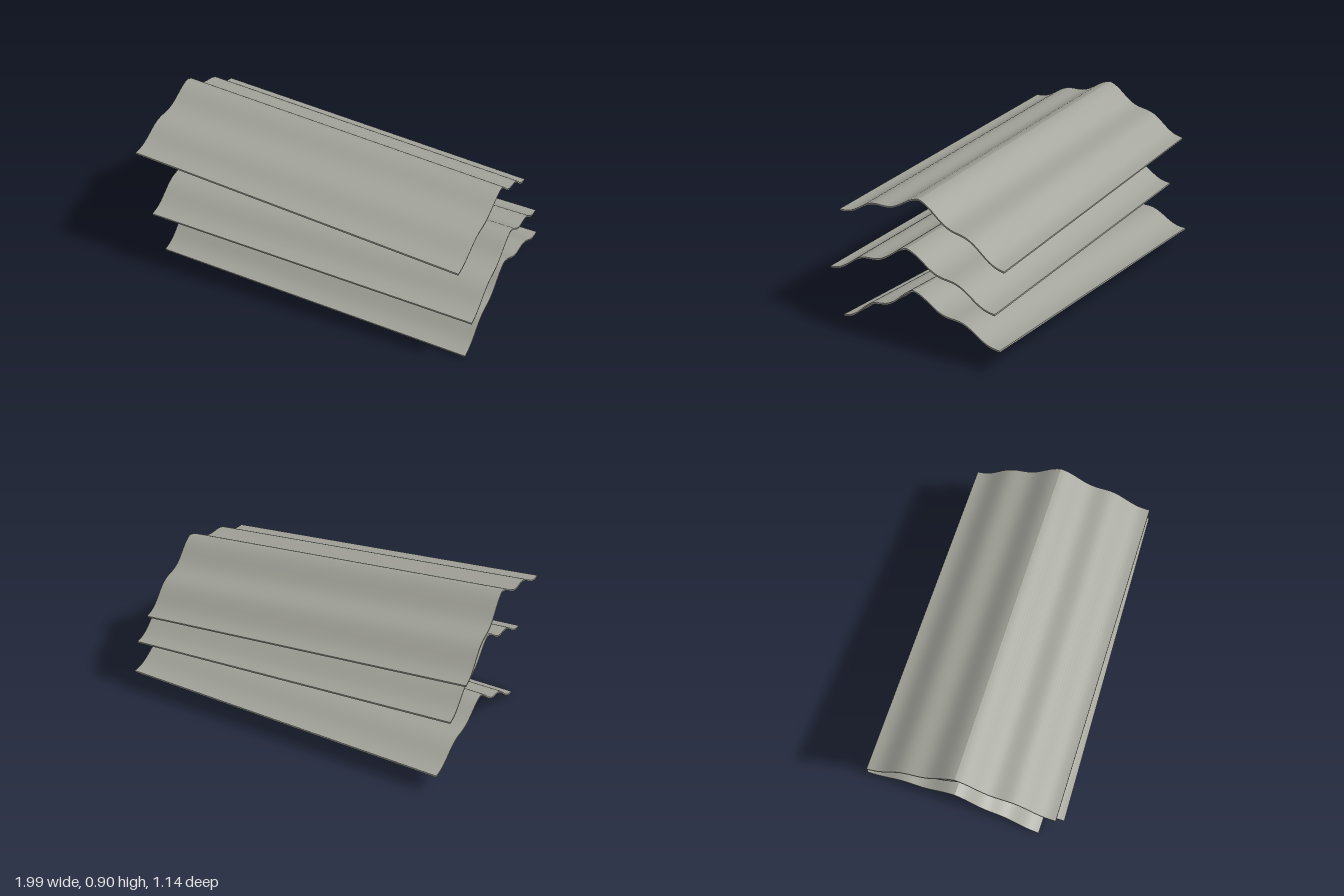
import * as THREE from 'three';
import { toCreasedNormals } from 'three/addons/utils/BufferGeometryUtils.js';

const LENGTH = 1.87, HALF_WIDTH = 0.507, THICKNESS = 0.009, STEPS = 40;

// Height of the sheet below its ridge: a steady slope with a soft wave.
function drop(s) {
  const wave = (d) => Math.sin((2 * Math.PI * (d - 0.235)) / 0.275);
  return -0.414 * s + 0.0144 * (wave(s) - wave(0));
}

// Thin ridged cross-section, extruded along x.
function sheetGeometry() {
  const top = [], bottom = [];
  for (let i = -STEPS; i <= STEPS; i++) {
    const s = (i / STEPS) * HALF_WIDTH;
    const h = drop(Math.abs(s));
    top.push(new THREE.Vector2(s, h));
    bottom.unshift(new THREE.Vector2(s, h - THICKNESS));
  }
  const geometry = new THREE.ExtrudeGeometry(new THREE.Shape([...top, ...bottom]), {
    depth: LENGTH, bevelEnabled: false, steps: 1,
  });
  geometry.translate(0, 0, -LENGTH / 2).rotateY(Math.PI / 2);
  return toCreasedNormals(geometry, 0.3);
}

export function createModel() {
  const group = new THREE.Group();
  group.name = 'ridgedSheets';
  const material = new THREE.MeshStandardMaterial({ color: 0x9fa097 });
  material.name = 'warm grey';
  const geometry = sheetGeometry();

  // Ridge midpoint, then roll (x), yaw (y) and pitch (z) of each loose sheet.
  const sheets = [
    { name: 'bottomSheet', at: [0.022, 0.292, -0.039], turn: [0.102, 0.001, 0.008] },
    { name: 'middleSheet', at: [0.045, 0.562, 0.018], turn: [0, 0.0465, -0.034] },
    { name: 'topSheet', at: [-0.032, 0.836, -0.017], turn: [-0.097, 0.0305, -0.0745] },
  ];
  for (const { name, at, turn } of sheets) {
    const sheet = new THREE.Mesh(geometry, material);
    sheet.name = name;
    sheet.position.set(...at);
    sheet.rotation.set(...turn, 'YZX');
    group.add(sheet);
  }
  return group;
}
